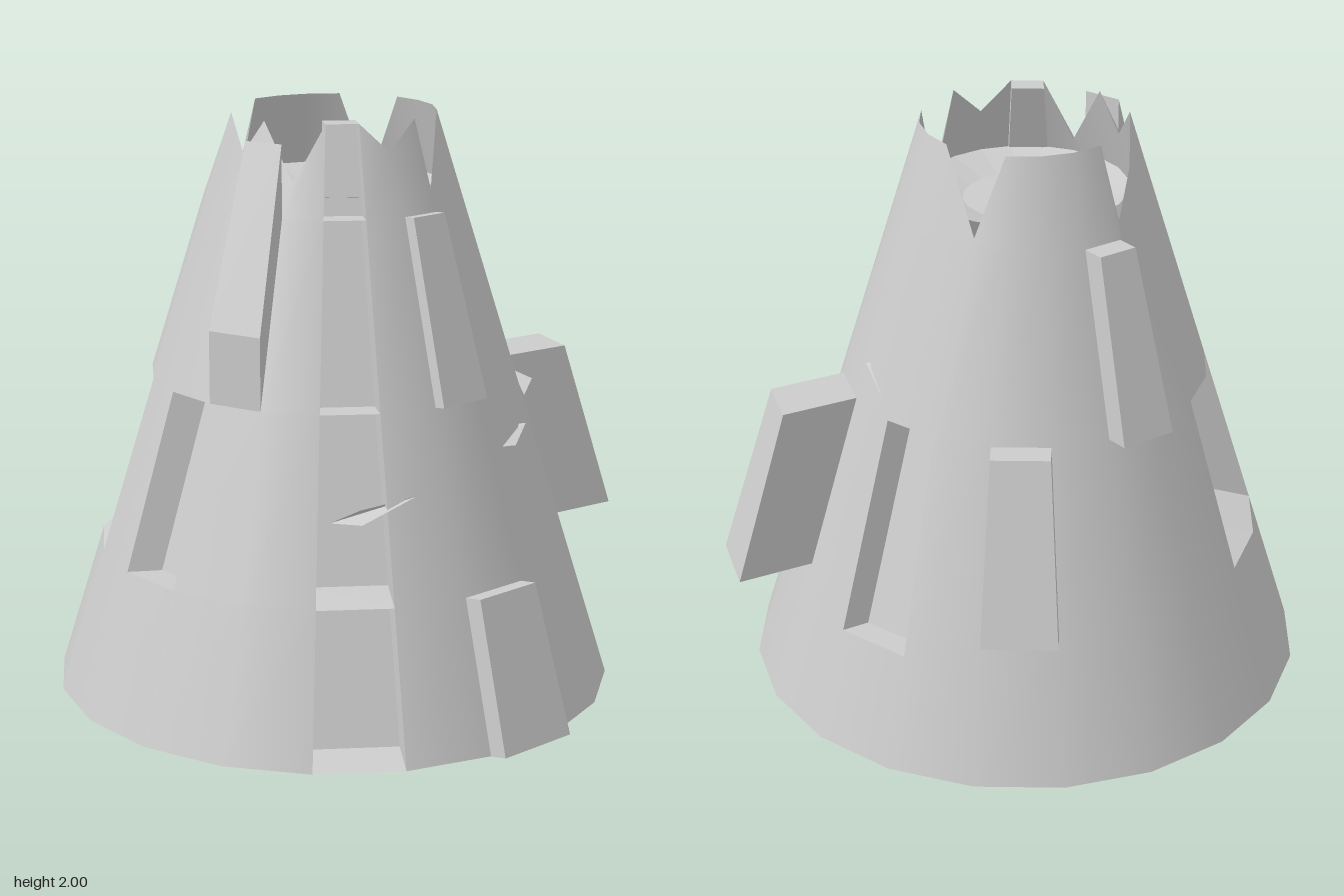
import * as THREE from 'three';

const SIDES = 20;
const LAYERS = [0, 0.5, 1.1, 1.7];
// Height of the broken rim at each of the 20 corners, starting at the front
const RIM = [1.8, 2, 2, 1.9, 2, 1.7, 2, 2, 2, 2, 1.7, 2, 2, 2, 2, 1.7, 1.85, 2, 1.88, 2];
const RIM_RADIUS = 0.35;

const radius = (y) => 0.97 - 0.31 * y;
const rim = (k) => RIM[k % SIDES];
function ring(k, r, y) {
  const a = (k / SIDES) * Math.PI * 2;
  return new THREE.Vector3(Math.sin(a) * r, y, Math.cos(a) * r);
}
// Wall corner on a layer; the deepest notches pull the wall inwards
function corner(k, layer) {
  if (layer === 4) return ring(k, RIM_RADIUS, rim(k));
  // The panel with the back niche starts lower than its neighbours
  const y = LAYERS[layer];
  return ring(k, layer === 3 && rim(k) === 1.7 ? RIM_RADIUS : radius(y), y);
}
const NICHE = 9, NICHE_SILL = 0.38;
const panelCorner = (column, k, layer) =>
  column === NICHE && layer === 1 ? ring(k, radius(NICHE_SILL), NICHE_SILL) : corner(k, layer);

// Triangle soup from quads (a, b, c, d anticlockwise seen from outside)
function quadGeometry(quads) {
  const points = quads.flatMap(([a, b, c, d]) => [a, b, c, a, c, d]);
  const geometry = new THREE.BufferGeometry().setFromPoints(points);
  geometry.computeVertexNormals();
  return geometry;
}

export function createModel() {
  const group = new THREE.Group();
  const smooth = new THREE.MeshStandardMaterial({ color: 0xcccccc, side: THREE.DoubleSide });
  const flat = new THREE.MeshStandardMaterial({ color: 0xcccccc, side: THREE.DoubleSide, flatShading: true });
  const add = (name, geometry, material) => {
    const mesh = new THREE.Mesh(geometry, material);
    mesh.name = name;
    group.add(mesh);
  };

  // Wall panels pushed in or out: first corner, panel count, layer, offset
  const panels = [
    ['frontSlab', 19, 1, 2, [0, 0.245, 0]],
    ['upperLeftSlab', 3, 1, 2, [0.03, 0, 0]],
    ['lowerLeftSlab', 3, 1, 0, [0.05, 0, 0]],
    ['largeBackSlab', 7, 1, 1, [0.15, 0, -0.22]],
    ['backSlab', 11, 1, 1, [-0.04, 0, -0.08]],
    ['rightSlab', 13, 1, 2, [-0.07, 0, -0.03]],
    ['frontNiche', 18, 1, 1, [0.1, 0, -0.06]],
    ['backNiche', NICHE, 1, 1, [-0.05, 0, 0.08]],
    ['rightDent', 15, 2, 1, [0.16, 0.05, -0.1]],
    // Long stepped channel running from the ground to the rim
    ['channel', 1, 1, 0, [-0.05, 0.05, -0.07]],
    ['channel', 1, 1, 1, [-0.05, 0, -0.08]],
    ['channel', 1, 1, 2, [-0.05, 0, -0.08]],
    ['channel', 1, 1, 3, [-0.04, 0, -0.07]],
  ];

  const moved = new Set();
  for (const [name, start, count, layer, offset] of panels) {
    const v = new THREE.Vector3(...offset);
    const shift = (p) => p.clone().add(v);
    const low = [], high = [];
    for (let k = start; k <= start + count; k++) {
      low.push(panelCorner(start, k, layer));
      high.push(panelCorner(start, k, layer + 1));
      if (k < start + count) moved.add(layer * SIDES + (k % SIDES));
    }
    const quads = [];
    for (let i = 0; i < count; i++) {
      quads.push([low[i], low[i + 1], high[i + 1], high[i]].map(shift));
    }
    // Walls joining the moved panel to its outline
    const outline = [...low, ...high.reverse()];
    outline.forEach((p, i) => {
      const q = outline[(i + 1) % outline.length];
      quads.push([p, q, shift(q), shift(p)]);
    });
    add(name, quadGeometry(quads), flat);
  }

  // Conical wall with smooth normals, open where panels have moved
  const wall = [];
  for (let layer = 0; layer < 4; layer++) {
    for (let k = 0; k < SIDES; k++) {
      if (moved.has(layer * SIDES + k)) continue;
      wall.push([
        panelCorner(k, k, layer), panelCorner(k, k + 1, layer),
        panelCorner(k, k + 1, layer + 1), panelCorner(k, k, layer + 1),
      ]);
    }
  }
  const wallGeometry = quadGeometry(wall);
  const position = wallGeometry.attributes.position;
  const normal = new THREE.Vector3();
  for (let i = 0; i < position.count; i++) {
    normal.set(position.getX(i), 0, position.getZ(i)).normalize();
    normal.setY(0.31).normalize();
    wallGeometry.attributes.normal.setXYZ(i, normal.x, normal.y, normal.z);
  }
  add('wall', wallGeometry, smooth);

  // Shallow bowl inside the broken top, and the hollowed underside
  const lathe = (points) =>
    new THREE.LatheGeometry(points.map(([r, y]) => new THREE.Vector2(r, y)), SIDES);
  add('topBowl', lathe([[RIM_RADIUS, 1.76], [0.21, 1.72], [0, 1.72]]), flat);
  add('underside', lathe([[0, 0.04], [0.62, 0.04], [0.97, 0]]), flat);

  // Thin stone splinters sticking out of the wall
  const splinters = [
    [[0.23, 0.74, 0.6], [0.37, 0.77, 0.67], [0.5, 0.84, 0.52], [0.33, 0.79, 0.58]],
    [[0.61, 0.92, 0.18], [0.7, 0.92, 0.1], [0.69, 0.96, -0.04], [0.6, 0.95, 0]],
    [[0.53, 1.05, -0.38], [0.61, 1.03, -0.36], [0.62, 1.0, -0.24], [0.57, 1.02, -0.33]],
    [[0.13, 1.15, -0.5], [0.22, 1.14, -0.57], [0.34, 1.23, -0.49], [0.13, 1.25, -0.44]],
  ];
  for (const corners of splinters) {
    add('splinter', quadGeometry([corners.map((c) => new THREE.Vector3(...c))]), flat);
  }
  return group;
}
